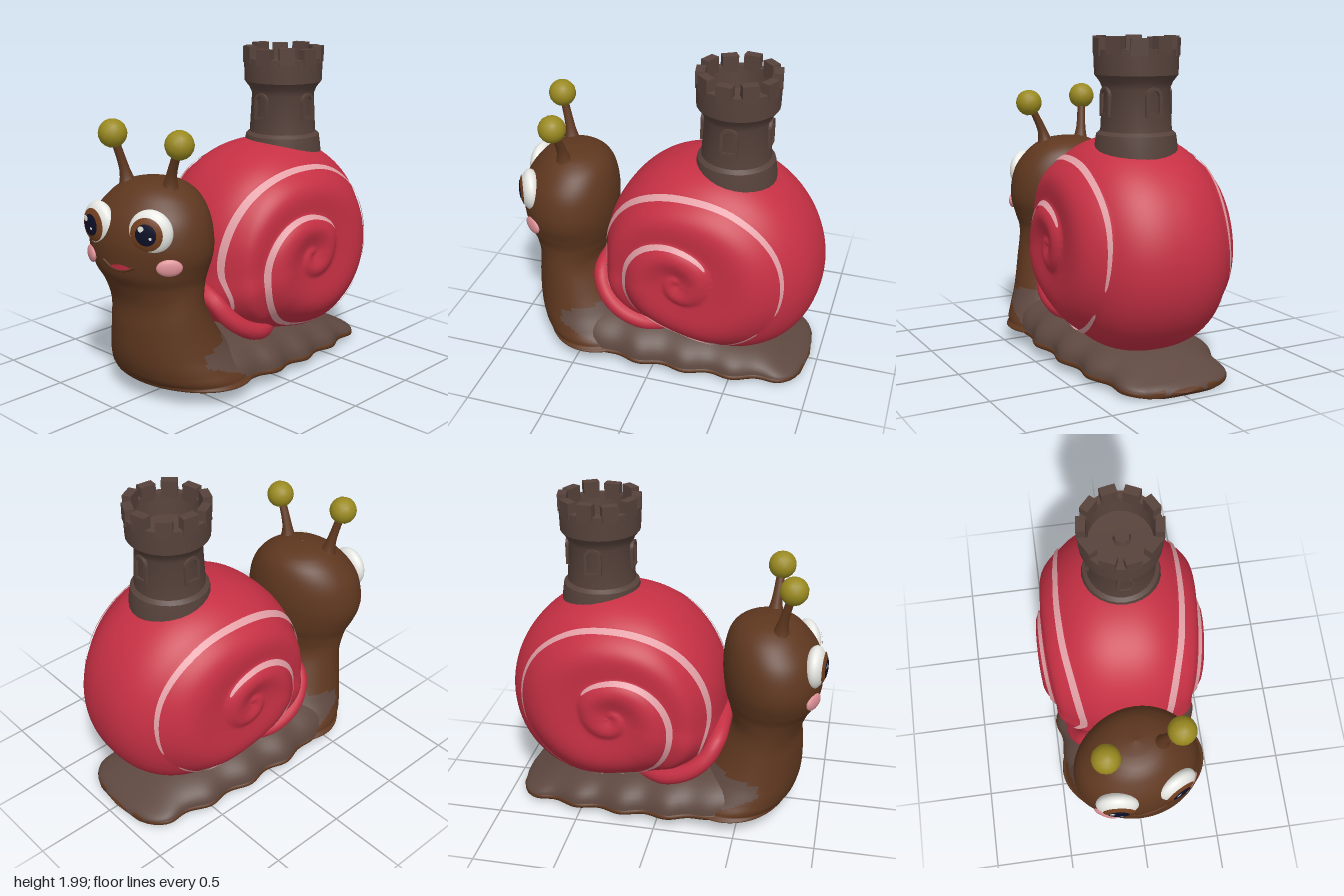
import * as THREE from 'three';
import { toCreasedNormals } from 'three/addons/utils/BufferGeometryUtils.js';

const paint = (name, color, side = THREE.FrontSide) => {
  const m = new THREE.MeshStandardMaterial({ color, side });
  m.name = name;
  return m;
};
const skin = paint('brown skin', 0x5e371f);
const footGrey = paint('foot grey brown', 0x5e4840);
const stone = paint('tower stone', 0x57423b);
const red = paint('shell red', 0xc63044, THREE.DoubleSide);
const stripePink = paint('stripe pink', 0xe2a0a6, THREE.DoubleSide);
const yellow = paint('antenna yellow', 0x9a8a20);
const white = paint('eye white', 0xeeeeea);
const irisBrown = paint('iris brown', 0x74401f);
const navy = paint('pupil navy', 0x0e1028);
const blush = paint('cheek pink', 0xdc9096);

function add(parent, name, geometry, material, pos = [0, 0, 0]) {
  const mesh = new THREE.Mesh(geometry, material);
  mesh.name = name;
  mesh.position.set(...pos);
  parent.add(mesh);
  return mesh;
}

// Smooth interpolation of table rows keyed by their first column
function sample(rows, k) {
  const n = rows.length - 1;
  k = Math.min(Math.max(k, rows[0][0]), rows[n][0]);
  let i = 0;
  while (i < n - 1 && k > rows[i + 1][0]) i++;
  const a = rows[i], b = rows[i + 1], p = rows[Math.max(i - 1, 0)], q = rows[Math.min(i + 2, n)];
  const h = b[0] - a[0], t = (k - a[0]) / h, t2 = t * t, t3 = t2 * t;
  return a.map((v, c) => {
    const m0 = (b[c] - p[c]) / (b[0] - p[0]) * h, m1 = (q[c] - v) / (q[0] - a[0]) * h;
    return v * (2 * t3 - 3 * t2 + 1) + m0 * (t3 - 2 * t2 + t) + b[c] * (3 * t2 - 2 * t3) + m1 * (t3 - t2);
  });
}

// Surface grid from a rule fn(u, v) -> [x, y, z]; u may wrap around.
// Cells whose first corner passes second(y, z) go to the second material group.
function grid(nu, nv, fn, closed = false, second = () => false) {
  const pos = [], main = [], other = [], cols = closed ? nu : nu + 1;
  for (let j = 0; j <= nv; j++) for (let i = 0; i < cols; i++) pos.push(...fn(i / nu, j / nv));
  for (let j = 0; j < nv; j++) for (let i = 0; i < nu; i++) {
    const a = j * cols + i, b = j * cols + (i + 1) % cols;
    (second(pos[3 * a + 1], pos[3 * a + 2]) ? other : main).push(a, b, b + cols, a, b + cols, a + cols);
  }
  const g = new THREE.BufferGeometry();
  g.setAttribute('position', new THREE.Float32BufferAttribute(pos, 3));
  g.setIndex([...main, ...other]);
  if (other.length) {
    g.addGroup(0, main.length, 0);
    g.addGroup(main.length, other.length, 1);
  }
  g.computeVertexNormals();
  return g;
}

const TAU = Math.PI * 2, YAW = 0.22, HEAD_X = -0.02, HEAD_Z = 0.655;

// Head and neck: y, centre z, half width, half depth
const bodyRows = [
  [0.08, 0.42, 0.01, 0.01], [0.09, 0.42, 0.42, 0.3], [0.13, 0.45, 0.462, 0.355], [0.2, 0.5, 0.432, 0.345],
  [0.3, 0.55, 0.385, 0.315], [0.45, 0.6, 0.345, 0.265], [0.6, 0.635, 0.322, 0.222], [0.72, 0.645, 0.325, 0.25],
  [0.8, 0.655, 0.352, 0.283], [0.9, 0.657, 0.384, 0.3], [1.0, 0.655, 0.384, 0.305], [1.12, 0.645, 0.352, 0.285],
  [1.22, 0.625, 0.28, 0.235], [1.28, 0.62, 0.2, 0.175], [1.31, 0.62, 0.12, 0.1], [1.325, 0.62, 0.001, 0.001]];
const faceZ = (x, y) => {
  const [, cz, rx, rz] = sample(bodyRows, y);
  return cz - HEAD_Z + rz * Math.sqrt(Math.max(0, 1 - (x / rx) ** 2));
};

function buildBody(root) {
  const greyArea = (y, z) => z < 0.62 && y > 0.14 + 0.38 * (z - 0.35) && y < 0.31 + 0.15 * (0.62 - z);
  add(root, 'headAndNeck', grid(96, 105, (u, v) => {
    const last = bodyRows.length - 1, f = v * last, i = Math.min(Math.floor(f), last - 1);
    const y = THREE.MathUtils.lerp(bodyRows[i][0], bodyRows[i + 1][0], f - i);
    const [, cz, rx, rz] = sample(bodyRows, y);
    const blend = THREE.MathUtils.smoothstep(y, 0.5, 0.85), w = YAW * blend;
    const ex = rx * Math.cos(u * TAU), ez = -rz * Math.sin(u * TAU);
    return [HEAD_X * blend + ex * Math.cos(w) + ez * Math.sin(w), y, cz - ex * Math.sin(w) + ez * Math.cos(w)];
  }, true, greyArea), [skin, footGrey]);

  // Foot: z, half width, underside y, rim y, top y
  const foot = [
    [-0.95, 0.02, 0.03, 0.03, 0.04], [-0.93, 0.2, 0.008, 0.06, 0.07], [-0.85, 0.31, 0.012, 0.075, 0.11],
    [-0.65, 0.38, 0.02, 0.09, 0.2], [-0.3, 0.435, 0.036, 0.105, 0.27], [0.1, 0.465, 0.058, 0.13, 0.32],
    [0.3, 0.455, 0.072, 0.14, 0.34], [0.45, 0.43, 0.082, 0.16, 0.34], [0.58, 0.385, 0.09, 0.17, 0.3],
    [0.66, 0.31, 0.095, 0.17, 0.24], [0.75, 0.15, 0.1, 0.16, 0.2], [0.77, 0.01, 0.13, 0.13, 0.14]];
  const width = (z, w) => Math.max(0.005, w + 0.018 * Math.sin(z * 21) * (1 - THREE.MathUtils.smoothstep(z, 0.1, 0.5)));
  const full = (c, power) => Math.sign(c) * Math.abs(c) ** power;
  add(root, 'footSole', grid(32, 70, (u, v) => {
    const z = -0.95 + 1.72 * v, [, w, b, t] = sample(foot, z), a = u * TAU;
    return [-0.012 + width(z, w) * full(Math.cos(a), 0.6), (b + t) / 2 + (t - b) / 2 * full(Math.sin(a), 0.6), z];
  }, true), skin);
  add(root, 'footTop', grid(24, 60, (u, v) => {
    const z = -0.94 + 1.5 * v, [, w, , t, d] = sample(foot, z), a = u * Math.PI;
    return [-0.012 + width(z, w) * 0.985 * full(Math.cos(a), 0.8), t - 0.02 + (d - t + 0.02) * Math.sin(a), z];
  }), footGrey);
}

function buildFace(root) {
  const face = new THREE.Group();
  face.name = 'face';
  face.position.set(HEAD_X, 0, HEAD_Z);
  face.rotation.y = YAW;
  root.add(face);
  const cap = angle => new THREE.SphereGeometry(1, 28, 10, 0, TAU, 0, angle).rotateX(Math.PI / 2);
  for (const s of [-1, 1]) {
    const side = s > 0 ? 'left' : 'right';
    // Eye: flattened ball with layered caps
    const eye = new THREE.Group();
    eye.name = side + 'Eye';
    eye.position.set(s * 0.183 - 0.017, 1.075, faceZ(0.183, 1.077) - 0.023 + s * 0.005);
    eye.rotation.y = s * 0.29 - 0.03;
    eye.scale.set(0.13, 0.131, 0.065);
    face.add(eye);
    add(eye, 'eyeball', new THREE.SphereGeometry(1, 32, 20), white);
    add(eye, 'iris', cap(0.83), irisBrown, [-s * 0.06, 0, 0.1]);
    add(eye, 'pupil', cap(0.5), navy, [-s * 0.05, 0.01, 0.14]);
    add(eye, 'glint', cap(0.14), white, [-0.25, 0.26, 0.12]);
    add(eye, 'smallGlint', cap(0.07), white, [0.18, -0.12, 0.16]);

    // Cheek
    const cheek = add(face, side + 'Cheek', new THREE.SphereGeometry(1, 24, 12), blush, [s * 0.273, 0.88, faceZ(0.272, 0.885) + 0.003]);
    cheek.scale.set(0.075, 0.05, 0.022);
    cheek.rotation.y = s * 0.68;

    // Antenna
    const tip = s > 0 ? [0.246, 1.545, 0.06] : [-0.208, 1.57, 0.071];
    const path = new THREE.CatmullRomCurve3([[s * 0.14, 1.24, 0.01], [s * 0.165, 1.36, 0.025], tip].map(p => new THREE.Vector3(...p)));
    add(face, side + 'AntennaStalk', grid(12, 14, (u, v) => {
      const p = path.getPoint(v), r = 0.026 + 0.045 * (1 - v) ** 3;
      return [p.x + r * Math.cos(u * TAU), p.y, p.z - r * Math.sin(u * TAU)];
    }, true), skin);
    add(face, side + 'AntennaBall', new THREE.IcosahedronGeometry(0.085, 2), yellow, tip);
  }
  // Smile
  const smileY = x => 0.846 + 3 * (x + 0.015) ** 2;
  add(face, 'mouth', grid(16, 2, (u, v) => {
    const x = -0.085 + 0.155 * u, y = smileY(x) + 0.034 * Math.sin(u * Math.PI) * v;
    return [x, y, faceZ(x, y) + 0.005];
  }), red);
  const lip = [-0.135, -0.07, -0.015, 0.04, 0.09].map(x => new THREE.Vector3(x, smileY(x) - 0.005, faceZ(x, smileY(x)) - 0.002));
  add(face, 'lowerLip', new THREE.TubeGeometry(new THREE.CatmullRomCurve3(lip), 20, 0.009, 8), skin);
}

// Shell outline radius by angle (0 = front, 90 = top) and spiral radius by winding angle
const rim = [[-47, 0.61], [-23, 0.65], [-7, 0.605], [17, 0.6], [40, 0.61], [63, 0.63], [90, 0.65], [127, 0.7],
  [157, 0.735], [193, 0.765], [214, 0.755], [234, 0.705], [270, 0.575], [295, 0.565], [313, 0.61]];
const spiral = [[-180, 3], [-90, 0.85], [-50, 0.62], [-27, 0.578], [0, 0.563], [45, 0.545], [90, 0.53], [124, 0.565],
  [160, 0.61], [190, 0.605], [212, 0.57], [270, 0.49], [360, 0.36], [450, 0.255], [502, 0.235], [540, 0.2],
  [630, 0.14], [720, 0.09], [810, 0.05], [900, 0]];
const rimR = deg => sample(rim, deg > 313 ? deg - 360 : deg)[1];
const spiralR = deg => sample(spiral, deg)[1];

// Half width of the shell: rounded barrel plus bulging whorls
function shellX(r, deg) {
  const rho = Math.min(1, r / rimR(deg));
  let bulge = 0;
  for (let k = -1; k < 3; k++) {
    const d = deg + 360 * k;
    if (d < -180 || d >= 900) continue;
    const outer = spiralR(d), inner = spiralR(d + 360);
    if (r <= outer && r > inner) bulge = Math.sin(Math.PI * ((r - inner) / (outer - inner)) ** 1.4) * Math.min(1, outer * 4);
  }
  return 0.5 * (1 - rho ** 2.8) ** 0.425 + 0.037 * bulge * Math.min(1, (1 - rho) * 5);
}

function buildShell(root) {
  const shell = new THREE.Group();
  shell.name = 'shell';
  shell.position.set(0, 0.77, -0.23);
  shell.rotation.y = -0.06;
  root.add(shell);
  const place = (r, deg, x) => {
    const a = THREE.MathUtils.degToRad(deg);
    return [x, r * Math.sin(a), r * Math.cos(a)];
  };
  add(shell, 'spiralShell', grid(120, 140, (u, v) => {
    const s = (0.5 - v) * Math.PI, deg = u * 360, r = rimR(deg) * Math.cos(s);
    return place(r, deg, Math.sign(s) * shellX(r, deg));
  }, true), red);

  // Rolled lip around the shell opening
  const half = [[0.24, 0.56, 0.37], [0.31, 0.46, 0.315], [0.34, 0.37, 0.21], [0.32, 0.305, 0.06], [0.22, 0.27, -0.1]];
  const loop = [...half.map(([x, y, z]) => [-x, y, z]).reverse(), [0, 0.62, 0.37], ...half];
  const lipPath = new THREE.CatmullRomCurve3(loop.map(([x, y, z]) => new THREE.Vector3(x, y - 0.77, z + 0.23)));
  add(shell, 'shellLip', new THREE.TubeGeometry(lipPath, 60, 0.055, 12), red);

  // Pale stripes along the whorl edges on both sides
  for (const side of [-1, 1]) for (const [from, to, broad] of [[-30, 195, 0.025], [211, 500, 0.032]]) {
    add(shell, 'spiralStripe', grid(100, 3, (u, v) => {
      const d = from + (to - from) * u, deg = (d + 360) % 360;
      const r = spiralR(d) - 0.012 + (v - 0.5) * broad * Math.sin(Math.PI * u) ** 0.3;
      return place(r * 1.01, deg, side * (shellX(r, deg) + 0.009));
    }), stripePink);
  }
}

function buildTower(root) {
  const tower = new THREE.Group();
  tower.name = 'tower';
  tower.position.set(0.035, 0, -0.423);
  root.add(tower);
  const profile = [[0.25, 1.26], [0.242, 1.37], [0.232, 1.44], [0.208, 1.46], [0.195, 1.7], [0.212, 1.74], [0.243, 1.78],
    [0.247, 1.925], [0.2, 1.925], [0.19, 1.79], [0, 1.78]].map(p => new THREE.Vector2(...p));
  add(tower, 'towerWall', toCreasedNormals(new THREE.LatheGeometry(profile, 28), 0.6), stone);
  add(tower, 'floorKnob', new THREE.CylinderGeometry(0.045, 0.06, 0.05, 7), stone, [0.01, 1.795, -0.015]);

  // Battlements
  for (let i = 0; i < 10; i++) {
    const a = (i + 0.3) / 10 * TAU;
    const block = add(tower, 'merlon', new THREE.BoxGeometry(0.095, 0.1, 0.055), stone, [0.22 * Math.sin(a), 1.938 + 0.01 * (i % 2), 0.22 * Math.cos(a)]);
    block.rotation.y = a;
  }
  // Arched window frames
  const arch = (path, w, h) => {
    path.moveTo(-w, -h);
    path.lineTo(w, -h);
    path.lineTo(w, h - w);
    path.absarc(0, h - w, w, 0, Math.PI, false);
    path.closePath();
    return path;
  };
  const frame = arch(new THREE.Shape(), 0.052, 0.085);
  frame.holes.push(arch(new THREE.Path(), 0.033, 0.066));
  const frameGeometry = new THREE.ExtrudeGeometry(frame, { depth: 0.03, bevelEnabled: false, curveSegments: 8 });
  for (let i = 0; i < 4; i++) {
    const a = i * Math.PI / 2;
    add(tower, 'windowFrame', frameGeometry, stone, [0.18 * Math.sin(a), 1.63, 0.18 * Math.cos(a)]).rotation.y = a;
  }
}

export function createModel() {
  const root = new THREE.Group();
  root.name = 'snail';
  buildBody(root);
  buildFace(root);
  buildShell(root);
  buildTower(root);
  return root;
}
